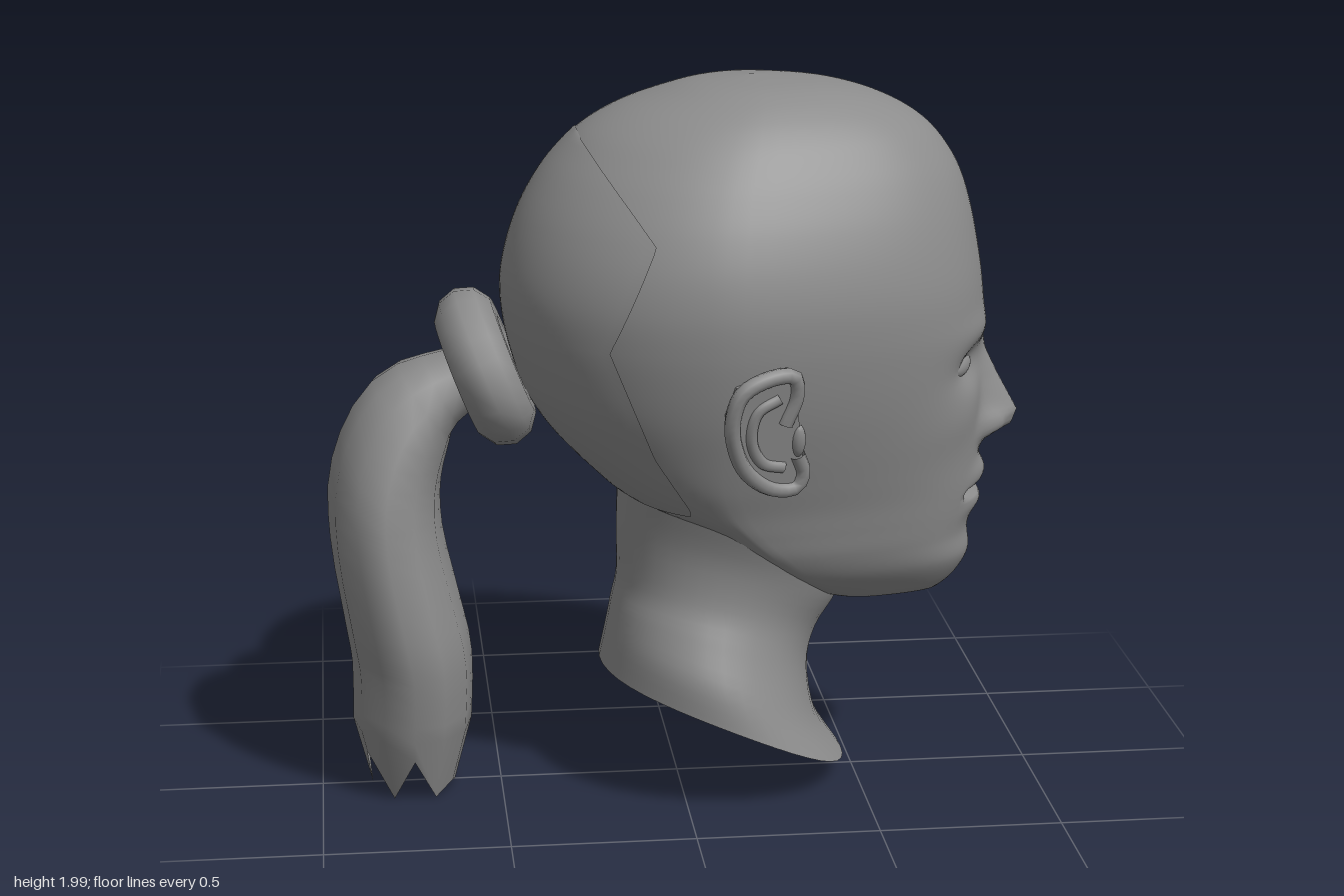
import * as THREE from 'three';

const gray = new THREE.MeshStandardMaterial({ color: 0x8c8c8c, side: THREE.DoubleSide });
gray.name = 'clay gray';

const lerp = THREE.MathUtils.lerp;
const gauss = (v, s) => Math.exp(-((v / s) ** 2));

// Piecewise linear lookup in [key, value] pairs with rising keys
function lookup(pairs, k) {
  if (k <= pairs[0][0]) return pairs[0][1];
  for (let i = 1; i < pairs.length; i++) {
    const [k0, v0] = pairs[i - 1], [k1, v1] = pairs[i];
    if (k <= k1) return lerp(v0, v1, (k - k0) / (k1 - k0));
  }
  return pairs[pairs.length - 1][1];
}

// Smooth interpolation of table rows at fractional row t
function smoothRow(table, t) {
  const n = table.length - 1, i = Math.min(Math.floor(t), n - 1), f = t - i;
  const p = [i - 1, i, i + 1, i + 2].map((k) => table[Math.min(Math.max(k, 0), n)]);
  return p[1].map((b, c) => {
    const a = p[0][c], d = p[2][c], e = p[3][c];
    return b + 0.5 * f * (d - a + f * (2 * a - 5 * b + 4 * d - e + f * (3 * (b - d) + e - a)));
  });
}

// Smooth grid surface from a point function; closed wraps the columns
function grid(name, rows, cols, closed, point) {
  const pos = [], index = [], w = closed ? cols : cols + 1;
  for (let i = 0; i <= rows; i++)
    for (let j = 0; j < w; j++) pos.push(...point(i, j));
  for (let i = 0; i < rows; i++)
    for (let j = 0; j < cols; j++) {
      const a = i * w + j, b = i * w + ((j + 1) % w), c = a + w, d = b + w;
      index.push(a, c, b, b, c, d);
    }
  const g = new THREE.BufferGeometry();
  g.setAttribute('position', new THREE.Float32BufferAttribute(pos, 3));
  g.setIndex(index);
  g.computeVertexNormals();
  return part(name, g);
}

function part(name, geometry) {
  const m = new THREE.Mesh(geometry, gray);
  m.name = name;
  return m;
}

// Head sections: y, back x, x of widest point, front x, half width
const HEAD = [
  [0.54, 0.55, 0.55, 0.55, 0], [0.545, 0.4, 0.55, 0.72, 0.08], [0.56, 0.36, 0.5, 0.75, 0.15],
  [0.6, 0.28, 0.42, 0.79, 0.21], [0.66, 0.2, 0.33, 0.82, 0.275], [0.73, 0.1, 0.25, 0.815, 0.325],
  [0.8, 0, 0.18, 0.83, 0.357], [0.87, -0.16, 0.13, 0.84, 0.385], [0.95, -0.255, 0.1, 0.84, 0.42],
  [1.05, -0.35, 0.1, 0.84, 0.457], [1.15, -0.415, 0.1, 0.84, 0.49], [1.25, -0.45, 0.1, 0.842, 0.515],
  [1.35, -0.472, 0.1, 0.842, 0.532], [1.45, -0.478, 0.1, 0.834, 0.537], [1.55, -0.46, 0.1, 0.818, 0.523],
  [1.65, -0.425, 0.11, 0.797, 0.49], [1.74, -0.375, 0.125, 0.768, 0.445], [1.81, -0.32, 0.145, 0.728, 0.4],
  [1.87, -0.255, 0.165, 0.675, 0.353], [1.92, -0.165, 0.18, 0.6, 0.3], [1.96, -0.05, 0.2, 0.5, 0.235],
  [1.985, 0.05, 0.2, 0.38, 0.15], [2.0, 0.2, 0.2, 0.2, 0],
];
const NOSE_HEIGHT = [[0.955, 0], [0.985, 0.025], [1.01, 0.095], [1.05, 0.11], [1.15, 0.055], [1.23, 0.015], [1.3, 0]];
const NOSE_WIDTH = [[0.97, 0.075], [1.05, 0.075], [1.15, 0.058], [1.25, 0.05]];

// Forward push of the face: nose, eye sockets, brows, cheeks, lips
function face(y, z) {
  const a = Math.abs(z);
  let d = lookup(NOSE_HEIGHT, y) * Math.exp(-((a / lookup(NOSE_WIDTH, y)) ** 2.6));
  d += 0.035 * gauss(a - 0.085, 0.028) * gauss(y - 1.025, 0.035);
  d -= 0.04 * gauss(a - 0.18, 0.09) * gauss(y - 1.225, 0.055);
  d += 0.01 * gauss(a - 0.17, 0.12) * gauss(y - 1.32, 0.045);
  d += 0.008 * gauss(a - 0.24, 0.08) * gauss(y - 1.08, 0.07);
  const mouth = Math.max(0, 1 - (a / 0.16) ** 2);
  d += mouth * (0.02 * gauss(y - 0.89, 0.035) + 0.018 * gauss(y - 0.805, 0.028));
  d -= Math.max(0, 1 - (a / 0.16) ** 6) * 0.05 * gauss(y - 0.845, 0.01);
  return d;
}

function headPoint(t, angle, offset = 0) {
  const [y, xb, xm, xf, w] = smoothRow(HEAD, t);
  const c = Math.cos(angle), s = Math.sin(angle);
  // broad front plane with slightly flattened temples
  const z = w * s * (c > 0 ? 1 - 0.2 * c * s ** 4 : 1);
  const push = face(y, z) * THREE.MathUtils.smoothstep(c, 0.15, 0.5);
  const reach = c > 0 ? (xf - xm) * c ** 0.88 : (xm - xb) * c;
  return [xm + reach + push + c * offset, y, z + s * offset];
}

function makeHead() {
  const cols = 96, per = 8;
  return grid('head', (HEAD.length - 1) * per, cols, true, (i, j) => {
    const u = (2 * j) / cols - 1;
    return headPoint(i / per, Math.PI * Math.sign(u) * Math.abs(u) ** 1.4);
  });
}

// Pulled back hair: thin shell behind a hairline
function makeHair() {
  const line = [[0.87, 0], [0.89, 0], [1.05, -0.1], [1.35, -0.22], [1.63, -0.1], [1.7, -0.15], [1.86, -0.27]];
  const rows = 50, cols = 40;
  return grid('hairCap', rows, cols, false, (i, j) => {
    const t = lerp(7, 17.85, i / rows);
    const [y, xb, xm] = smoothRow(HEAD, t);
    const k = THREE.MathUtils.clamp((lookup(line, y) - xm) / (xm - xb), -1, 1);
    const start = Math.acos(k);
    return headPoint(t, lerp(start, 2 * Math.PI - start, j / cols), 0.005);
  });
}

// Neck sections: back x, back y, front x, front y, half width; open below
function makeNeck() {
  const table = [
    [-0.22, 0.36, 0.47, 0.06, 0.39], [-0.2, 0.45, 0.39, 0.19, 0.38], [-0.185, 0.53, 0.365, 0.34, 0.335],
    [-0.17, 0.61, 0.39, 0.45, 0.3], [-0.17, 0.75, 0.45, 0.55, 0.305], [-0.165, 0.88, 0.47, 0.66, 0.345],
  ];
  const cols = 40, per = 4;
  return grid('neck', (table.length - 1) * per, cols, true, (i, j) => {
    const [xb, yb, xf, yf, w] = smoothRow(table, i / per);
    const a = (j / cols) * 2 * Math.PI, f = 0.5 + 0.5 * Math.cos(a), s = Math.sin(a);
    return [lerp(xb, xf, f), lerp(yb, yf, f) + 0.05 * s * s, w * s];
  });
}

// Ponytail sections: x, y, half thickness, half width
function makePonytail() {
  const table = [
    [-0.46, 1.21, 0.095, 0.12], [-0.6, 1.175, 0.09, 0.13], [-0.73, 1.09, 0.135, 0.2], [-0.8, 0.93, 0.152, 0.25],
    [-0.805, 0.75, 0.155, 0.275], [-0.765, 0.52, 0.163, 0.28], [-0.742, 0.38, 0.167, 0.26],
    [-0.745, 0.2, 0.165, 0.22],
  ];
  const cols = 12, per = 3, last = table.length - 1, rows = last * per + 1;
  return grid('ponytail', rows, cols, true, (i, j) => {
    const angle = (j / cols) * 2 * Math.PI, c = Math.cos(angle), s = Math.sin(angle);
    const t = Math.min(i / per, last), [x, y, a, b] = smoothRow(table, t);
    if (i === rows) {
      // tapered ragged tips, notched deeper along the back
      const tipY = j % 2 ? (c < 0.3 ? 0.14 : 0.04) : 0.01;
      const taper = 1 - 0.32 * (y - tipY) / y;
      return [x + a * c * taper, tipY, b * s * taper];
    }
    const p = smoothRow(table, Math.max(t - 0.1, 0)), q = smoothRow(table, Math.min(t + 0.1, last));
    const l = Math.hypot(q[0] - p[0], q[1] - p[1]);
    const nx = (p[1] - q[1]) / l, ny = (q[0] - p[0]) / l;
    return [x + nx * a * c, y + ny * a * c, b * s];
  });
}

function makeScrunchie() {
  const tie = part('hairTie', new THREE.TorusGeometry(0.14, 0.086, 10, 20));
  tie.position.set(-0.525, 1.21, 0);
  tie.lookAt(-0.525 - 0.93, 1.21 - 0.36, 0);
  tie.scale.x = 1.15;
  return tie;
}

// Left ear around its own centre
function makeEar() {
  const ear = new THREE.Group();
  const outline = [[0.07, 0.165], [0, 0.172], [-0.075, 0.14], [-0.1, 0.06], [-0.085, -0.03], [-0.05, -0.1],
    [0.02, -0.16], [0.09, -0.17], [0.11, -0.13], [0.1, -0.04], [0.085, 0.06], [0.09, 0.13]];
  const pts = outline.map(([x, y]) => new THREE.Vector2(x, y));
  const plate = new THREE.ExtrudeGeometry(new THREE.Shape(pts), { depth: 0.07, bevelEnabled: false });
  plate.translate(0, 0, -0.065);
  ear.add(part('earBase', plate));
  const tube = (name, list, r) => {
    const curve = new THREE.CatmullRomCurve3(list.map(([x, y]) => new THREE.Vector3(x, y, 0)));
    ear.add(part(name, new THREE.TubeGeometry(curve, 36, r, 8)));
  };
  tube('earRim', [[0.05, 0.03], [0.08, 0.11], ...outline.slice(0, 9), [0.09, -0.07]], 0.022);
  tube('earInnerFold', [[0.03, 0.11], [-0.03, 0.08], [-0.045, 0], [-0.01, -0.075], [0.05, -0.1]], 0.018);
  const tragus = part('earTragus', new THREE.SphereGeometry(0.03, 10, 8));
  tragus.scale.set(0.7, 1.6, 0.6);
  tragus.position.set(0.092, -0.03, 0);
  ear.add(tragus);
  ear.position.set(0.18, 1.13, 0.502);
  ear.rotation.set(0.25, 0.3, 0);
  return ear;
}

// Left eye: almond ball with a lid rim
function makeEye() {
  const eye = new THREE.Group();
  eye.add(part('eyeball', new THREE.SphereGeometry(1, 20, 12)));
  const lid = part('eyelidRim', new THREE.TorusGeometry(1, 0.1, 6, 28));
  lid.rotation.y = Math.PI / 2;
  lid.position.x = 0.4;
  eye.add(lid);
  eye.scale.set(0.024, 0.031, 0.08);
  eye.position.set(0.748, 1.225, 0.188);
  eye.rotation.y = -0.45;
  return eye;
}

export function createModel() {
  const model = new THREE.Group();
  model.name = 'ponytailBust';
  model.add(makeHead(), makeHair(), makeNeck(), makePonytail(), makeScrunchie());
  for (const [side, sign] of [['left', 1], ['right', -1]]) {
    const pair = new THREE.Group();
    pair.name = side + 'EarAndEye';
    pair.add(makeEar(), makeEye());
    pair.scale.z = sign;
    model.add(pair);
  }
  return model;
}
